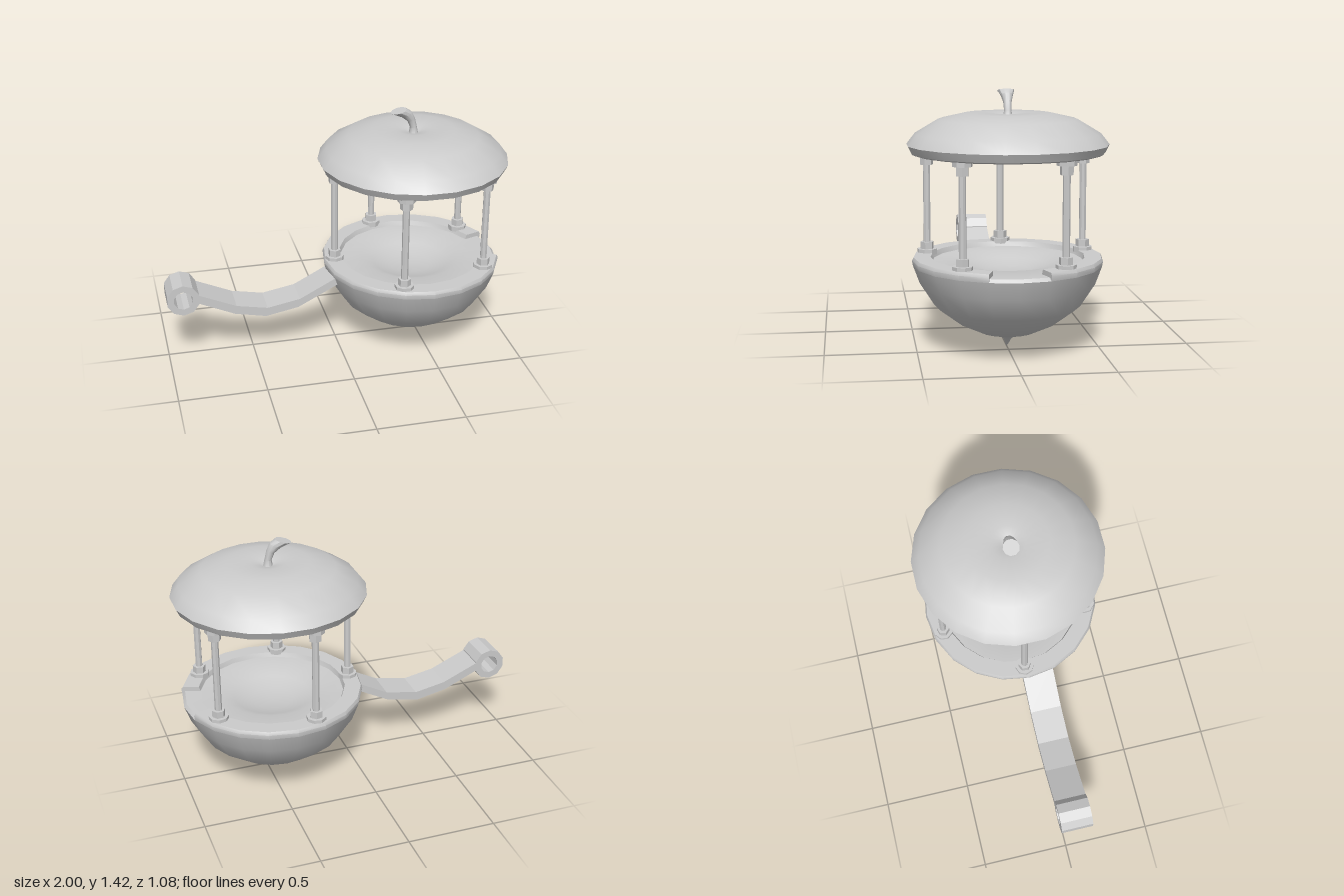
import * as THREE from 'three';
import { toCreasedNormals } from 'three/addons/utils/BufferGeometryUtils.js';

const CX = 0.457; // axis of the round body
const SIDES = 20;
const smooth = new THREE.MeshStandardMaterial({ color: 0xcccccc });
const flat = new THREE.MeshStandardMaterial({ color: 0xcccccc, flatShading: true });
const thin = new THREE.MeshStandardMaterial({ color: 0xcccccc, side: THREE.DoubleSide });

const vecs = (list) => list.map(([x, y]) => new THREE.Vector2(x, y));
const rad = THREE.MathUtils.degToRad;

function addMesh(parent, name, geometry, material, x = 0, y = 0, z = 0) {
  const mesh = new THREE.Mesh(geometry, material);
  mesh.name = name;
  mesh.position.set(x, y, z);
  parent.add(mesh);
  return mesh;
}

const creased = (geometry) => toCreasedNormals(geometry, rad(38));

// Bowl with a pointed, slightly hooked tip, flat floor and shallow dish
function bowlGeometry() {
  const g = new THREE.LatheGeometry(vecs([
    [0, 0], [0.01, 0.02], [0.022, 0.05], [0.06, 0.08], [0.16, 0.1], [0.27, 0.152],
    [0.4, 0.25], [0.48, 0.375], [0.516, 0.473], [0.5, 0.49], [0.29, 0.49],
    [0.22, 0.462], [0.12, 0.438], [0, 0.43],
  ]), SIDES);
  const p = g.attributes.position;
  for (let i = 0; i < p.count; i++) {
    const k = Math.max(0, 1 - p.getY(i) / 0.09);
    p.setX(i, p.getX(i) - 0.035 * k * k);
  }
  return creased(g);
}

// Raised rim, left open at the notch on the +x side
function rim() {
  const group = new THREE.Group();
  group.name = 'rim';
  const section = vecs([[0.516, 0.473], [0.521, 0.5], [0.512, 0.517], [0.42, 0.517], [0.41, 0.489]]);
  const half = rad(18);
  const ring = new THREE.LatheGeometry(section, SIDES - 2, Math.PI / 2 + half, Math.PI * 2 - 2 * half);
  addMesh(group, 'rimRing', creased(ring), thin);
  for (const side of [-1, 1]) {
    const end = addMesh(group, 'rimEnd', new THREE.ShapeGeometry(new THREE.Shape(section)), thin);
    end.rotation.y = side * half;
  }
  return group;
}

// Bent stem that flares towards its end: rows of [x, y, radius, tilt]
function stemGeometry() {
  const rows = [
    [0.457, 1.24, 0.045, 0], [0.457, 1.27, 0.027, 0], [0.456, 1.305, 0.02, 0.05],
    [0.442, 1.35, 0.023, 0.35], [0.413, 1.385, 0.034, 0.42], [0.368, 1.408, 0.047, 0.25],
  ];
  const n = rows.length - 1;
  const g = new THREE.CylinderGeometry(1, 1, 1, 10, n);
  const p = g.attributes.position;
  for (let i = 0; i < p.count; i++) {
    const [x, y, r, tilt] = rows[Math.round((p.getY(i) + 0.5) * n)];
    const u = p.getX(i) * r;
    p.setXYZ(i, x + u * Math.cos(tilt), y + u * Math.sin(tilt), p.getZ(i) * r);
  }
  return creased(g);
}

// Post: rod with a nut and flange at both ends
function post() {
  const group = new THREE.Group();
  group.name = 'post';
  const part = (name, r, y0, y1, sides) =>
    addMesh(group, name, new THREE.CylinderGeometry(r, r, y1 - y0, sides), flat, 0, (y0 + y1) / 2);
  part('rod', 0.02, 0.5, 1.08, 8);
  part('lowerFlange', 0.055, 0.505, 0.536, 8);
  part('lowerNut', 0.037, 0.536, 0.575, 6);
  part('upperFlange', 0.053, 1.05, 1.08, 8);
  part('upperNut', 0.036, 1.002, 1.05, 6);
  return group;
}

function decagon(target, x, y, r) {
  const pts = [];
  for (let i = 0; i < 10; i++) {
    const a = rad(18 + 36 * i);
    pts.push(new THREE.Vector2(x + r * Math.cos(a), y + r * Math.sin(a)));
  }
  return target.setFromPoints(pts);
}

// Curved handle with a ring at its end
function handle() {
  const group = new THREE.Group();
  group.name = 'handle';
  const options = { depth: 0.185, bevelEnabled: false };
  const bar = new THREE.Shape(vecs([
    [0.0, 0.437], [0.0, 0.485], [-0.24, 0.36], [-0.43, 0.325], [-0.61, 0.36], [-0.83, 0.457],
    [-0.83, 0.405], [-0.62, 0.31], [-0.44, 0.272], [-0.25, 0.308],
  ]));
  const ring = decagon(new THREE.Shape(), -0.91, 0.43, 0.0946);
  ring.holes.push(decagon(new THREE.Path(), -0.91, 0.43, 0.055));
  addMesh(group, 'handleBar', new THREE.ExtrudeGeometry(bar, options), flat, 0, 0, -0.035);
  addMesh(group, 'handleRing', new THREE.ExtrudeGeometry(ring, options), flat, 0, 0, -0.035);
  return group;
}

export function createModel() {
  const model = new THREE.Group();
  model.name = 'lantern';

  addMesh(model, 'bowl', bowlGeometry(), smooth, CX);
  const rimGroup = rim();
  rimGroup.position.x = CX;
  model.add(rimGroup);

  // Roof with a small dimple around the stem
  const roof = new THREE.LatheGeometry(vecs([
    [0, 1.075], [0.51, 1.075], [0.525, 1.082], [0.546, 1.125], [0.5, 1.185],
    [0.375, 1.26], [0.235, 1.292], [0.1, 1.292], [0.045, 1.282], [0, 1.262],
  ]), SIDES);
  addMesh(model, 'roof', creased(roof), smooth, CX).rotation.y = rad(9);
  addMesh(model, 'stem', stemGeometry(), smooth);

  // Five posts in a circle
  for (let i = 0; i < 5; i++) {
    const a = rad(182 + 72 * i);
    const p = post();
    p.position.set(CX + 0.455 * Math.cos(a), 0, 0.455 * Math.sin(a));
    p.rotation.y = -a;
    model.add(p);
  }

  model.add(handle());
  return model;
}
